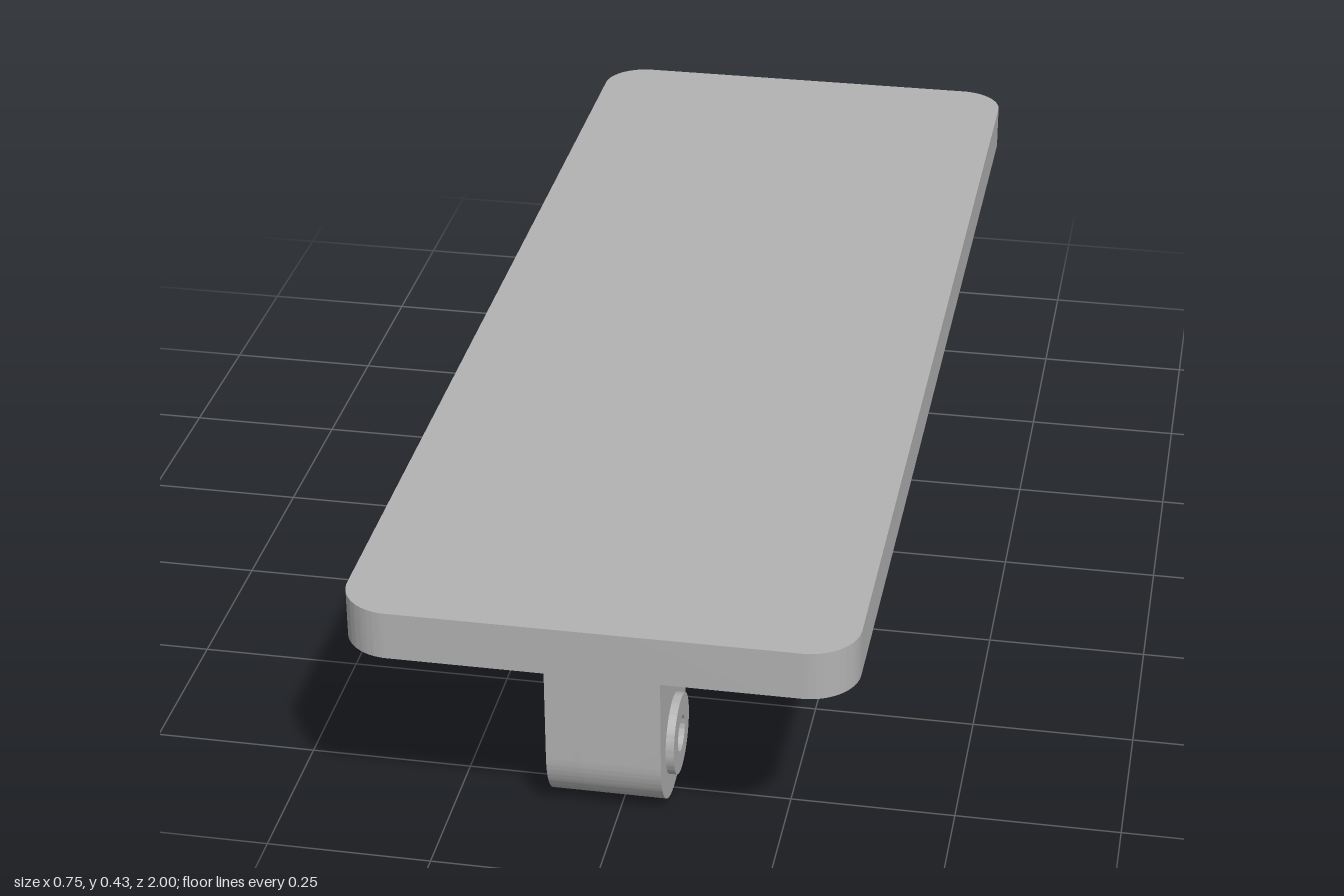
import * as THREE from 'three';
import { toCreasedNormals } from 'three/addons/utils/BufferGeometryUtils.js';

const PLATE_BOTTOM = 0.35, LUG_R = 0.1, PIN_Y = 0.1, BOSS_R = 0.0625, HOLE_R = 0.028;
const FILLET = 0.0625, BOSS_T = 0.0125, NUT_R = 0.056, NUT_DEPTH = 0.055;
const CREASE = 0.5;

function circlePath(radius) {
  return new THREE.Path().absarc(0, PIN_Y, radius, 0, Math.PI * 2, true);
}

function hexPath(radius) {
  const points = [];
  for (let i = 0; i < 6; i++) {
    const a = Math.PI / 2 - i * Math.PI / 3;
    points.push(new THREE.Vector2(radius * Math.cos(a), PIN_Y + radius * Math.sin(a)));
  }
  return new THREE.Path(points);
}

// Straight-sided lug profile with a round lower end
function lugShape(hole) {
  const top = PLATE_BOTTOM - FILLET;
  const shape = new THREE.Shape();
  shape.moveTo(LUG_R, top);
  shape.lineTo(-LUG_R, top);
  shape.lineTo(-LUG_R, PIN_Y);
  shape.absarc(0, PIN_Y, LUG_R, Math.PI, Math.PI * 2, false);
  shape.closePath();
  shape.holes.push(hole);
  return shape;
}

function bossShape() {
  const shape = new THREE.Shape().absarc(0, PIN_Y, BOSS_R, 0, Math.PI * 2, false);
  shape.holes.push(circlePath(HOLE_R));
  return shape;
}

// Extrudes a side profile across the width, from x0 to x1
function extrudeAcross(shape, x0, x1) {
  const geometry = new THREE.ExtrudeGeometry(shape, { depth: x1 - x0, bevelEnabled: false, curveSegments: 32 });
  geometry.rotateY(Math.PI / 2).translate(x0, 0, 0);
  return toCreasedNormals(geometry, CREASE);
}

// Concave fillet with mitred corners, from the lug walls out to the plate
function filletGeometry(x0, x1) {
  const steps = 12, positions = [];
  const ring = (k) => {
    const a = (k / steps) * Math.PI / 2;
    const out = FILLET * (1 - Math.cos(a));
    const y = PLATE_BOTTOM - FILLET + FILLET * Math.sin(a);
    const l = x0 - out, r = x1 + out, h = LUG_R + out;
    return [[l, y, h], [r, y, h], [r, y, -h], [l, y, -h]];
  };
  for (let k = 0; k < steps; k++) {
    const low = ring(k), high = ring(k + 1);
    for (let i = 0; i < 4; i++) {
      const j = (i + 1) % 4;
      positions.push(...low[i], ...low[j], ...high[j], ...low[i], ...high[j], ...high[i]);
    }
  }
  const geometry = new THREE.BufferGeometry();
  geometry.setAttribute('position', new THREE.Float32BufferAttribute(positions, 3));
  return toCreasedNormals(geometry, CREASE);
}

export function createModel() {
  const model = new THREE.Group();
  model.name = 'mountingPlate';
  const grey = new THREE.MeshStandardMaterial({ color: 0xb2b2b2 });
  grey.name = 'plain grey';

  const add = (parent, name, geometry) => {
    const mesh = new THREE.Mesh(geometry, grey);
    mesh.name = name;
    parent.add(mesh);
  };

  // Flat plate with rounded corners
  const w = 0.375, l = 1, r = 0.075;
  const outline = new THREE.Shape();
  outline.absarc(w - r, l - r, r, 0, Math.PI / 2, false);
  outline.absarc(-w + r, l - r, r, Math.PI / 2, Math.PI, false);
  outline.absarc(-w + r, -l + r, r, Math.PI, Math.PI * 1.5, false);
  outline.absarc(w - r, -l + r, r, Math.PI * 1.5, Math.PI * 2, false);
  const plate = new THREE.ExtrudeGeometry(outline, { depth: 0.075, bevelEnabled: false, curveSegments: 16 });
  plate.rotateX(-Math.PI / 2).translate(0, PLATE_BOTTOM, 0);
  add(model, 'plate', toCreasedNormals(plate, CREASE));

  // Front lug has a nut pocket on one side, the rear lug a boss on both
  const lugs = [
    { name: 'frontLug', z: 0.75, x0: -0.10625, x1: 0.06875, pocket: true },
    { name: 'rearLug', z: 0.25, x0: -0.1125, x1: 0.1125, pocket: false },
  ];
  for (const { name, z, x0, x1, pocket } of lugs) {
    const lug = new THREE.Group();
    lug.name = name;
    lug.position.z = z;
    const bodyStart = pocket ? x0 + NUT_DEPTH : x0;
    add(lug, 'lugBody', extrudeAcross(lugShape(circlePath(HOLE_R)), bodyStart, x1));
    if (pocket) add(lug, 'nutPocket', extrudeAcross(lugShape(hexPath(NUT_R)), x0, bodyStart));
    else add(lug, 'rightBoss', extrudeAcross(bossShape(), x0 - BOSS_T, x0));
    add(lug, 'leftBoss', extrudeAcross(bossShape(), x1, x1 + BOSS_T));
    add(lug, 'fillet', filletGeometry(x0, x1));
    model.add(lug);
  }
  return model;
}
